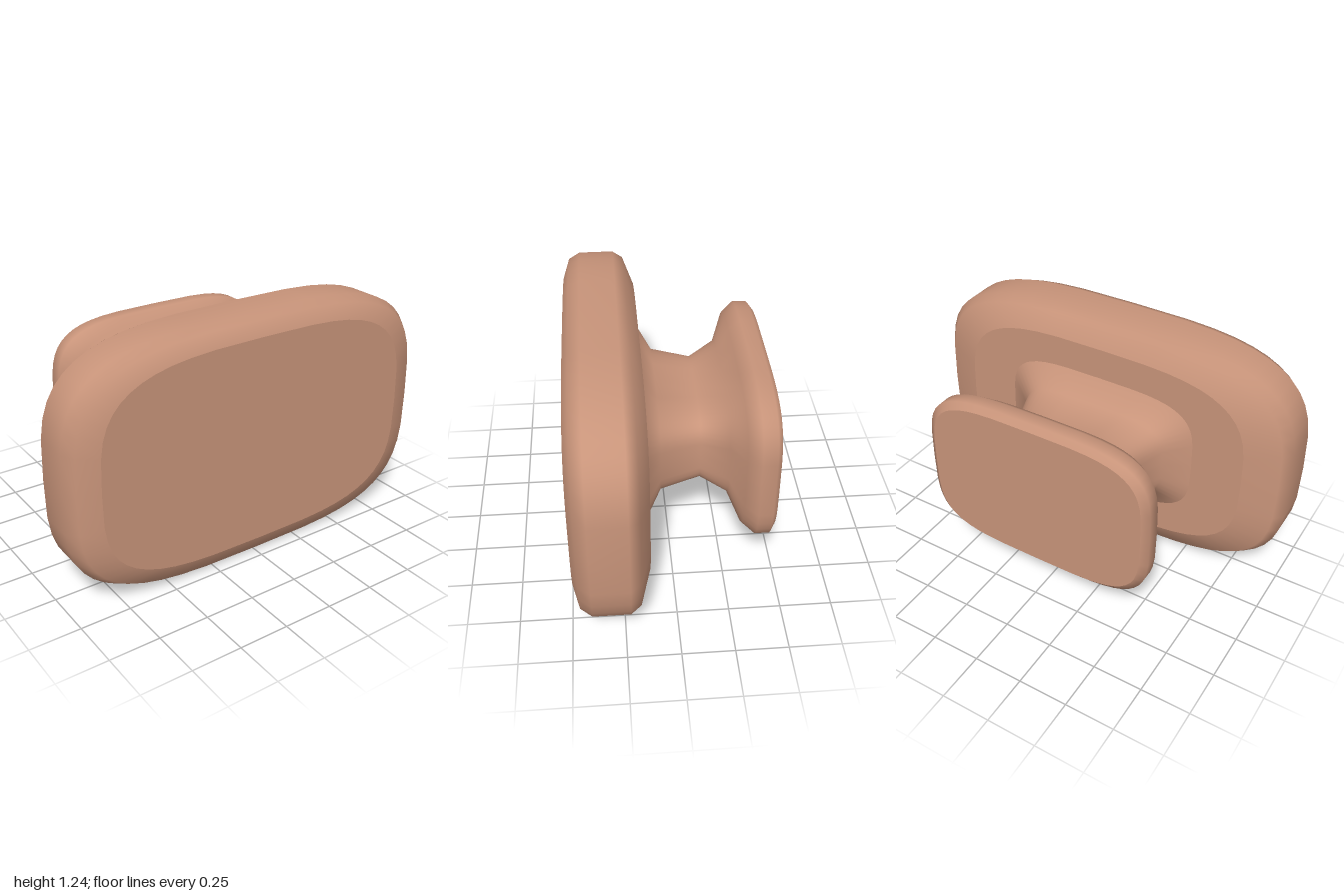
import * as THREE from 'three';

const SEGMENTS = 48;
const CENTRE_Y = 0.622;

// Rounded-rectangle (superellipse) outline of half-size w, h
function outline(w, h, n) {
  const bend = (v) => Math.sign(v) * Math.pow(Math.abs(v) < 1e-9 ? 0 : Math.abs(v), 2 / n);
  return Array.from({ length: SEGMENTS }, (_, i) => {
    const a = (i / SEGMENTS) * Math.PI * 2;
    return [w * bend(Math.cos(a)), h * bend(Math.sin(a))];
  });
}

// Loft through rings [z, halfWidth, halfHeight, exponent], listed front to back,
// smooth along the sides with flat, sharp-edged caps
function loft(rings) {
  const positions = [], sides = [], caps = [];
  const addRing = ([z, w, h, n]) => {
    const start = positions.length / 3;
    for (const [x, y] of outline(w, h, n)) positions.push(x, y, z);
    return start;
  };
  const starts = rings.map(addRing);
  for (let r = 0; r < rings.length - 1; r++) {
    for (let i = 0; i < SEGMENTS; i++) {
      const j = (i + 1) % SEGMENTS;
      const a = starts[r] + i, b = starts[r] + j;
      const c = starts[r + 1] + i, d = starts[r + 1] + j;
      sides.push(a, c, b, b, c, d);
    }
  }
  const addCap = (ring, front) => {
    const start = addRing(ring);
    const centre = positions.length / 3;
    positions.push(0, 0, ring[0]);
    for (let i = 0; i < SEGMENTS; i++) {
      const a = start + i, b = start + ((i + 1) % SEGMENTS);
      if (front) caps.push(centre, a, b);
      else caps.push(centre, b, a);
    }
  };
  addCap(rings[0], true);
  addCap(rings[rings.length - 1], false);

  const geometry = new THREE.BufferGeometry();
  geometry.setAttribute('position', new THREE.Float32BufferAttribute(positions, 3));
  geometry.setIndex([...sides, ...caps]);
  geometry.computeVertexNormals();
  return geometry;
}

export function createModel() {
  const group = new THREE.Group();
  group.name = 'doubleHeadedKnob';
  const material = new THREE.MeshStandardMaterial({ color: 0xc8947a });

  const addPart = (name, rings) => {
    const mesh = new THREE.Mesh(loft(rings), material);
    mesh.name = name;
    mesh.position.y = CENTRE_Y;
    group.add(mesh);
  };

  // Large front plate with bevelled rims
  addPart('frontPlate', [
    [0.485, 0.855, 0.525, 3.5],
    [0.455, 0.96, 0.597, 3.5],
    [0.4, 1.0, 0.62, 3.5],
    [0.225, 1.0, 0.62, 3.5],
    [0.175, 0.96, 0.597, 3.5],
    [0.125, 0.79, 0.495, 3.5],
  ]);

  // Waisted stem flaring into the smaller back plate
  addPart('stemAndBackPlate', [
    [0.125, 0.525, 0.332, 4],
    [0.05, 0.4, 0.222, 4],
    [-0.145, 0.335, 0.198, 4],
    [-0.275, 0.408, 0.262, 4],
    [-0.332, 0.555, 0.373, 4],
    [-0.392, 0.61, 0.415, 4],
    [-0.46, 0.61, 0.415, 4],
    [-0.485, 0.575, 0.386, 4],
  ]);

  return group;
}
